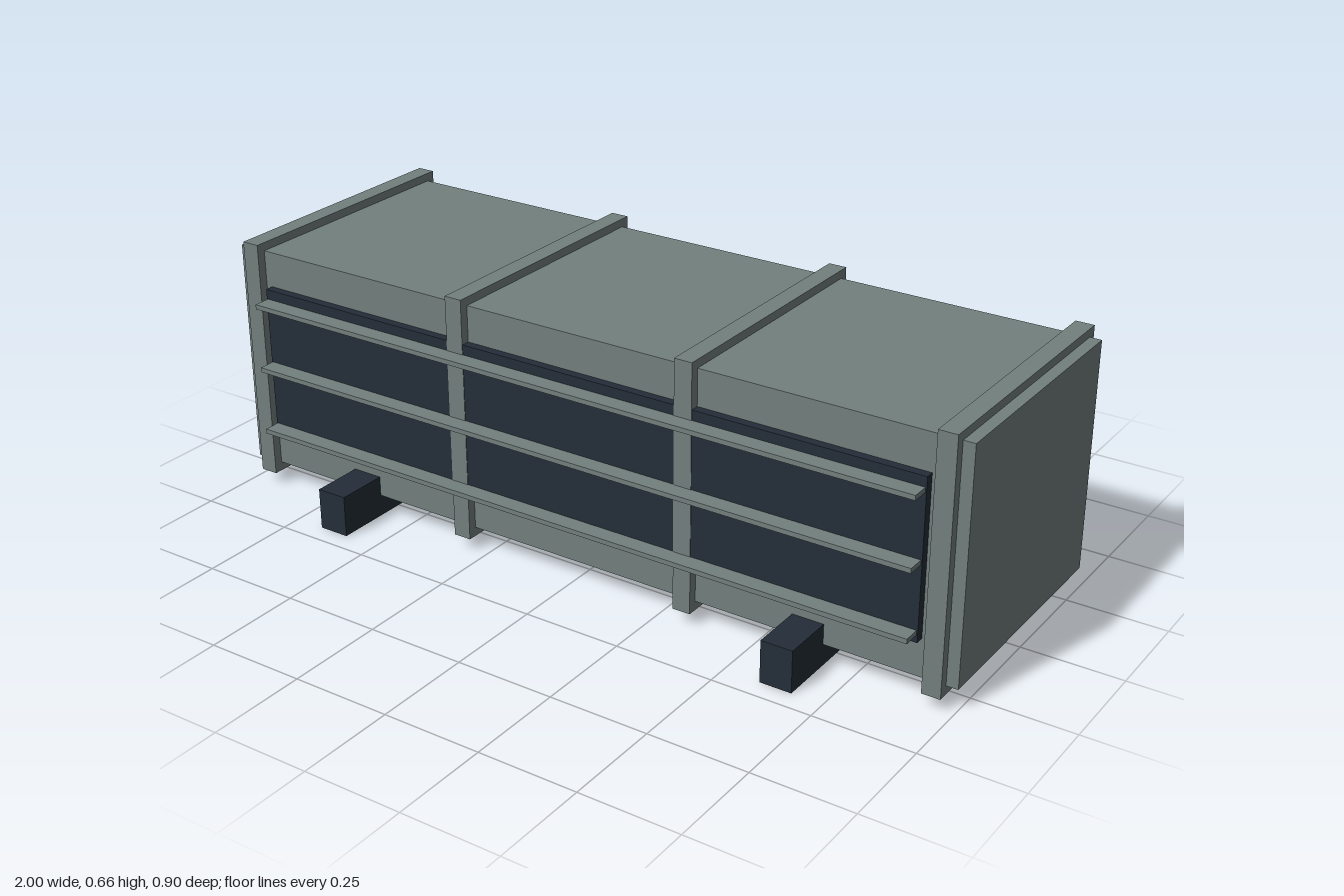
import * as THREE from 'three';

export function createModel() {
  const model = new THREE.Group();
  model.name = 'cargoCrate';

  const grey = new THREE.MeshStandardMaterial({ color: 0x73807e });
  grey.name = 'grey green';
  const dark = new THREE.MeshStandardMaterial({ color: 0x242e38 });
  dark.name = 'dark slate';

  // Box given by its lower and upper limits on each axis
  function box(name, material, [x0, x1], [y0, y1], [z0, z1]) {
    const mesh = new THREE.Mesh(new THREE.BoxGeometry(x1 - x0, y1 - y0, z1 - z0), material);
    mesh.position.set((x0 + x1) / 2, (y0 + y1) / 2, (z0 + z1) / 2);
    mesh.name = name;
    model.add(mesh);
  }

  // Main container
  box('body', grey, [-1, 1], [0.055, 0.634], [-0.315, 0.315]);

  // Bands wrapped around the container
  for (const x of [-0.948, -0.316, 0.316, 0.948]) {
    box('band', grey, [x - 0.023, x + 0.023], [0.032, 0.655], [-0.338, 0.338]);
  }

  // Recess-coloured front panel with horizontal louvres
  box('frontPanel', dark, [-0.908, 0.908], [0.15, 0.543], [0.3, 0.3365]);
  for (const y of [0.174, 0.343, 0.512]) {
    box('louvre', grey, [-0.905, 0.905], [y - 0.006, y + 0.006], [0.33, 0.38]);
  }

  // Skids running from front to back
  for (const x of [-0.632, 0.632]) {
    box('skid', dark, [x - 0.04, x + 0.04], [0, 0.106], [-0.449, 0.449]);
  }

  return model;
}
